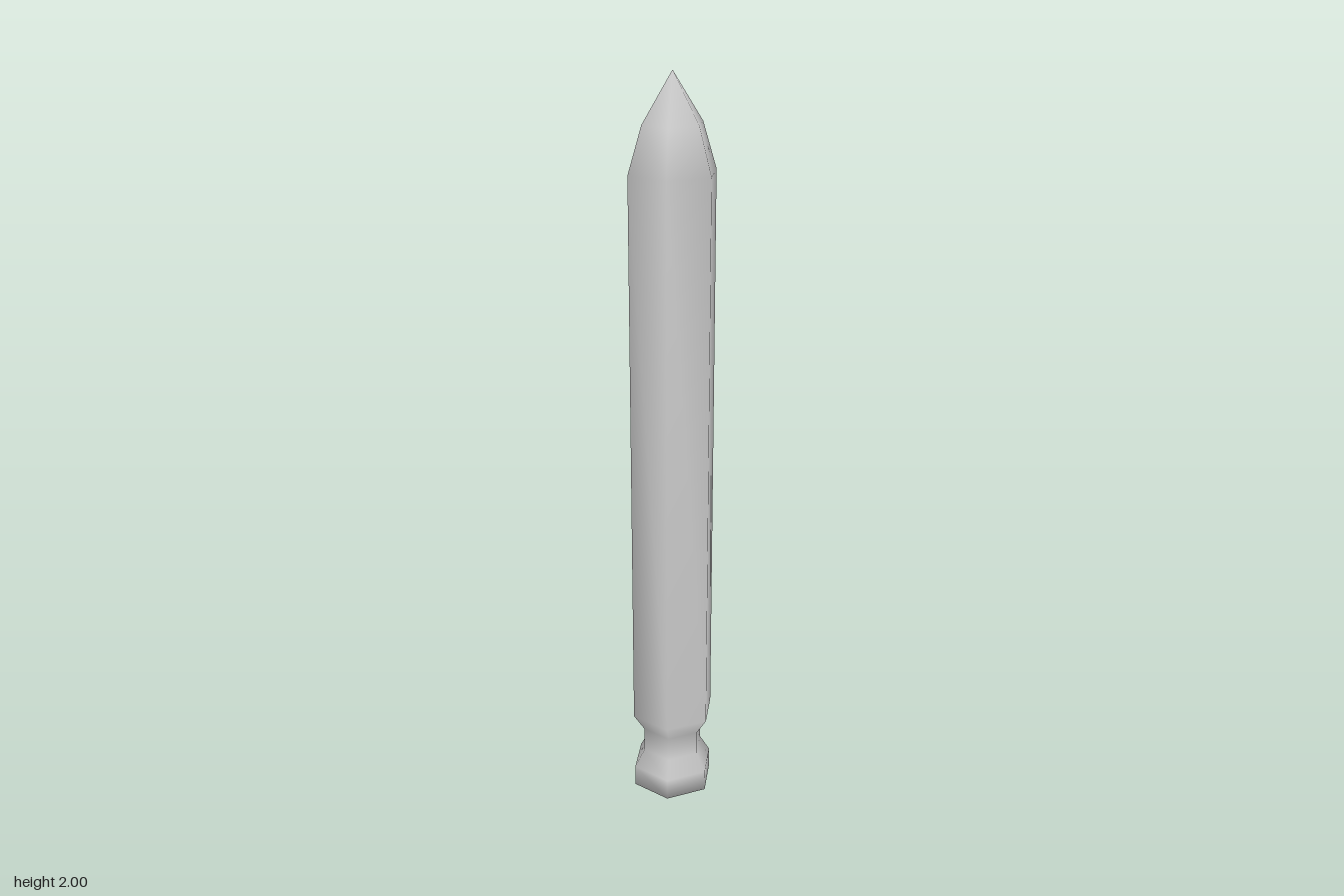
import * as THREE from 'three';
import { mergeVertices } from 'three/addons/utils/BufferGeometryUtils.js';

export function createModel() {
  const group = new THREE.Group();
  group.name = 'post';

  // Outline from base centre to tip: [corner radius, height]
  const profile = [
    [0, 0], [0.116, 0], [0.116, 0.06], // foot
    [0.087, 0.11], [0.087, 0.18],      // neck
    [0.118, 0.23], [0.118, 1.757],     // shaft
    [0.081, 1.875], [0, 2],            // pointed tip
  ].map(([r, y]) => new THREE.Vector2(r, y));

  // Six-sided turned body, welded so that shading flows over every edge
  let geometry = new THREE.LatheGeometry(profile, 6);
  geometry.deleteAttribute('normal');
  geometry.deleteAttribute('uv');
  geometry = mergeVertices(geometry, 1e-4);
  geometry.computeVertexNormals();

  const body = new THREE.Mesh(geometry, new THREE.MeshStandardMaterial({ color: 0xcccccc }));
  body.name = 'postBody';
  group.add(body);
  return group;
}
